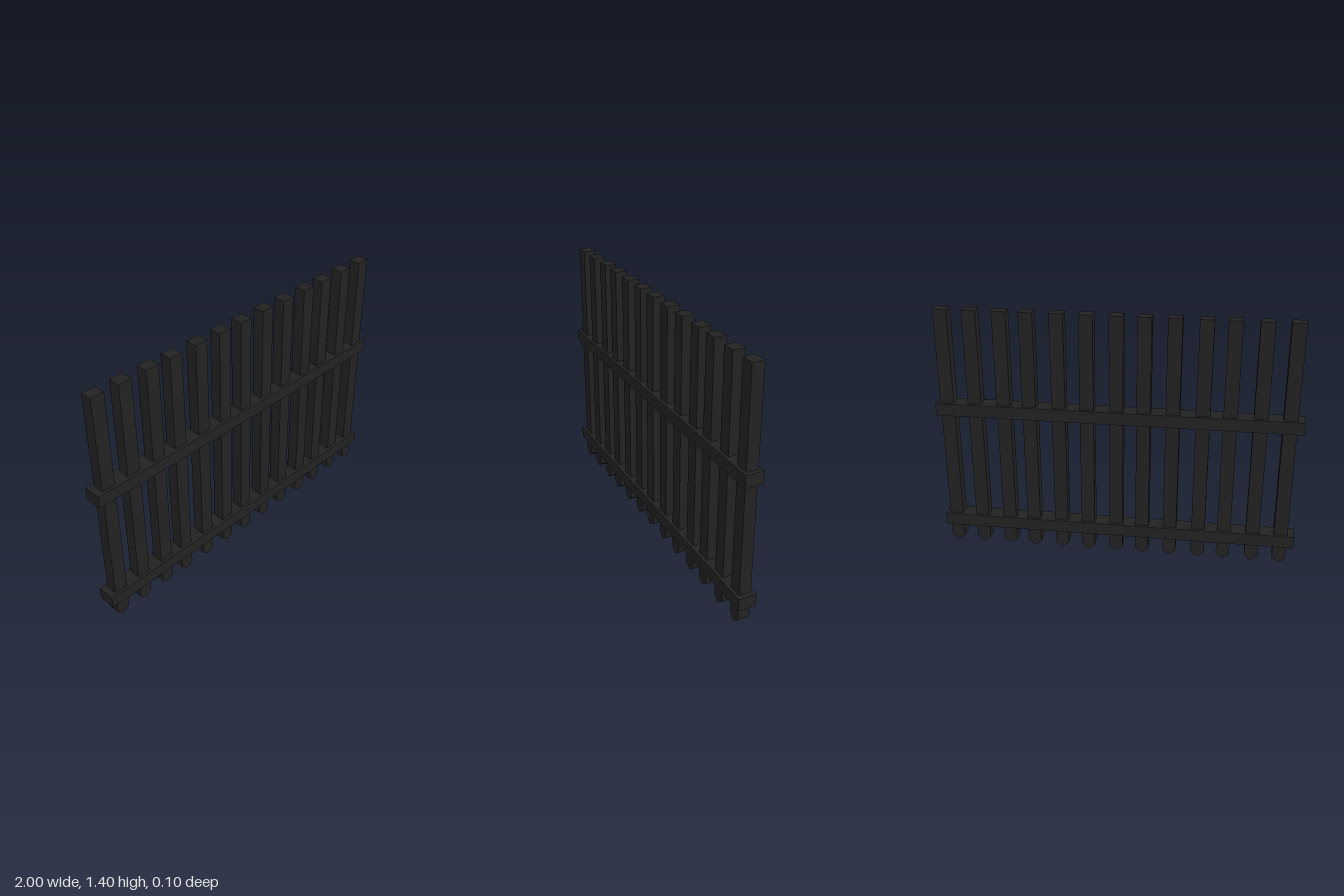
import * as THREE from 'three';

export function createModel() {
  const fence = new THREE.Group();
  fence.name = 'fence';
  const material = new THREE.MeshStandardMaterial({ color: 0x222222, flatShading: true });

  // Picket: square post with a wedge-shaped foot
  const width = 0.075, depth = 0.066, height = 1.4, foot = 0.03;
  const outline = new THREE.Shape();
  outline.moveTo(0, 0);
  outline.lineTo(width / 2, foot);
  outline.lineTo(width / 2, height);
  outline.lineTo(-width / 2, height);
  outline.lineTo(-width / 2, foot);
  outline.closePath();
  const picketGeometry = new THREE.ExtrudeGeometry(outline, { depth, bevelEnabled: false });
  picketGeometry.translate(0, 0, -depth / 2);

  // Slightly uneven spacing along the fence
  const positions = [-0.925, -0.77, -0.61, -0.466, -0.305, -0.148, 0, 0.16, 0.315, 0.477, 0.62, 0.782, 0.937];
  positions.forEach((x, i) => {
    const picket = new THREE.Mesh(picketGeometry, material);
    picket.name = `picket${i + 1}`;
    picket.position.x = x;
    fence.add(picket);
  });

  // Horizontal rails that the pickets pass through
  const railGeometry = new THREE.BoxGeometry(2, 0.07, 0.1);
  for (const [name, y] of [['lowerRail', 0.145], ['upperRail', 0.835]]) {
    const rail = new THREE.Mesh(railGeometry, material);
    rail.name = name;
    rail.position.y = y;
    fence.add(rail);
  }
  return fence;
}
